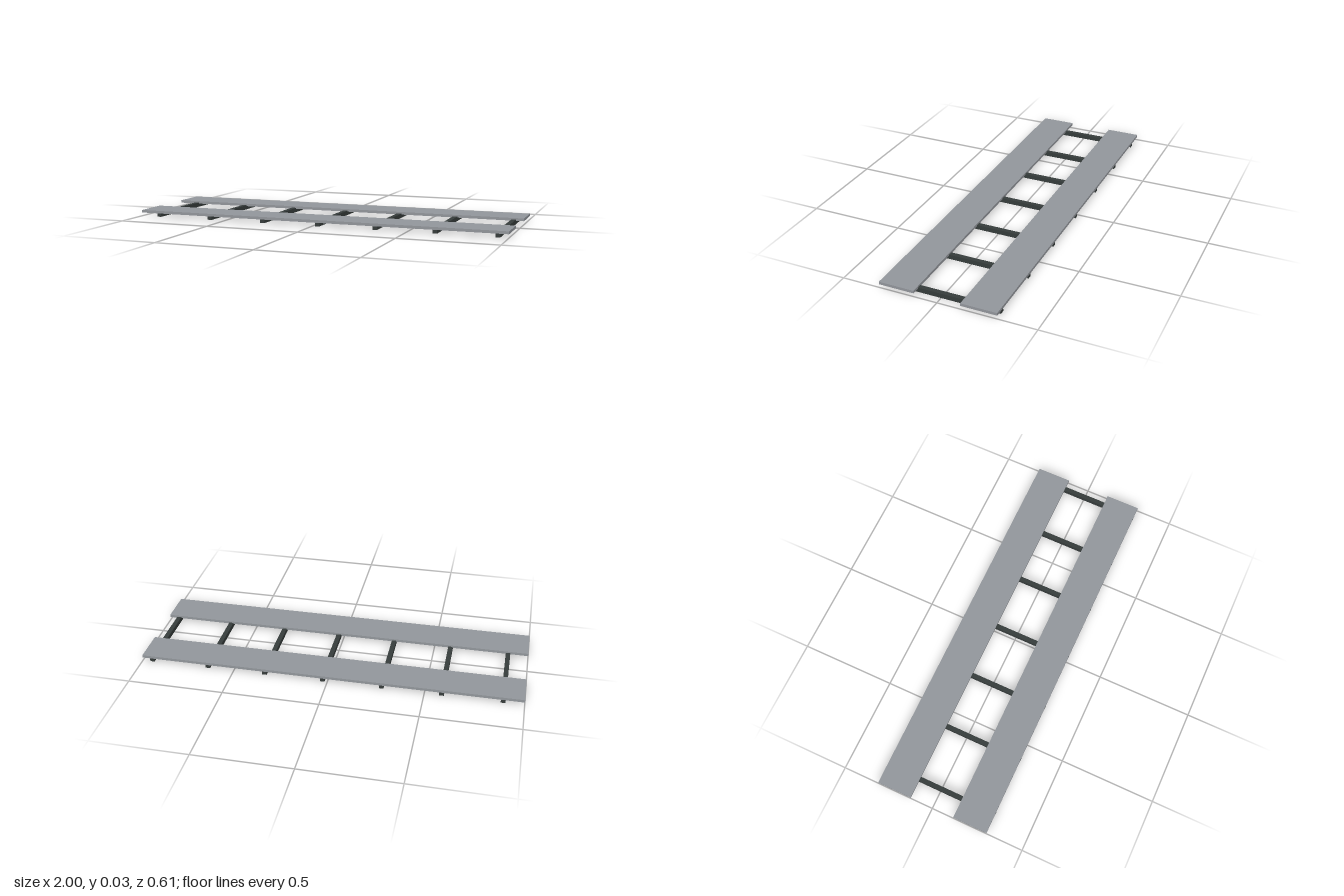
import * as THREE from 'three';

export function createModel() {
  const model = new THREE.Group();
  const plankGrey = new THREE.MeshStandardMaterial({ color: 0x92969b });
  plankGrey.name = 'plankGrey';
  const beamDark = new THREE.MeshStandardMaterial({ color: 0x363c3b });
  beamDark.name = 'beamDark';

  const addBox = (name, material, size, position) => {
    const mesh = new THREE.Mesh(new THREE.BoxGeometry(...size), material);
    mesh.name = name;
    mesh.position.set(...position);
    model.add(mesh);
  };

  // Two long planks, front and back
  for (const side of [1, -1]) {
    addBox(side > 0 ? 'frontPlank' : 'backPlank', plankGrey,
      [2, 0.014, 0.184], [0, 0.025, side * 0.212]);
  }

  // Seven evenly spaced cross beams, let into the underside of the planks
  for (let i = 0; i < 7; i++) {
    addBox(`crossBeam${i + 1}`, beamDark,
      [0.024, 0.024, 0.606], [-0.894 + i * 0.3068, 0.012, 0]);
  }
  return model;
}
